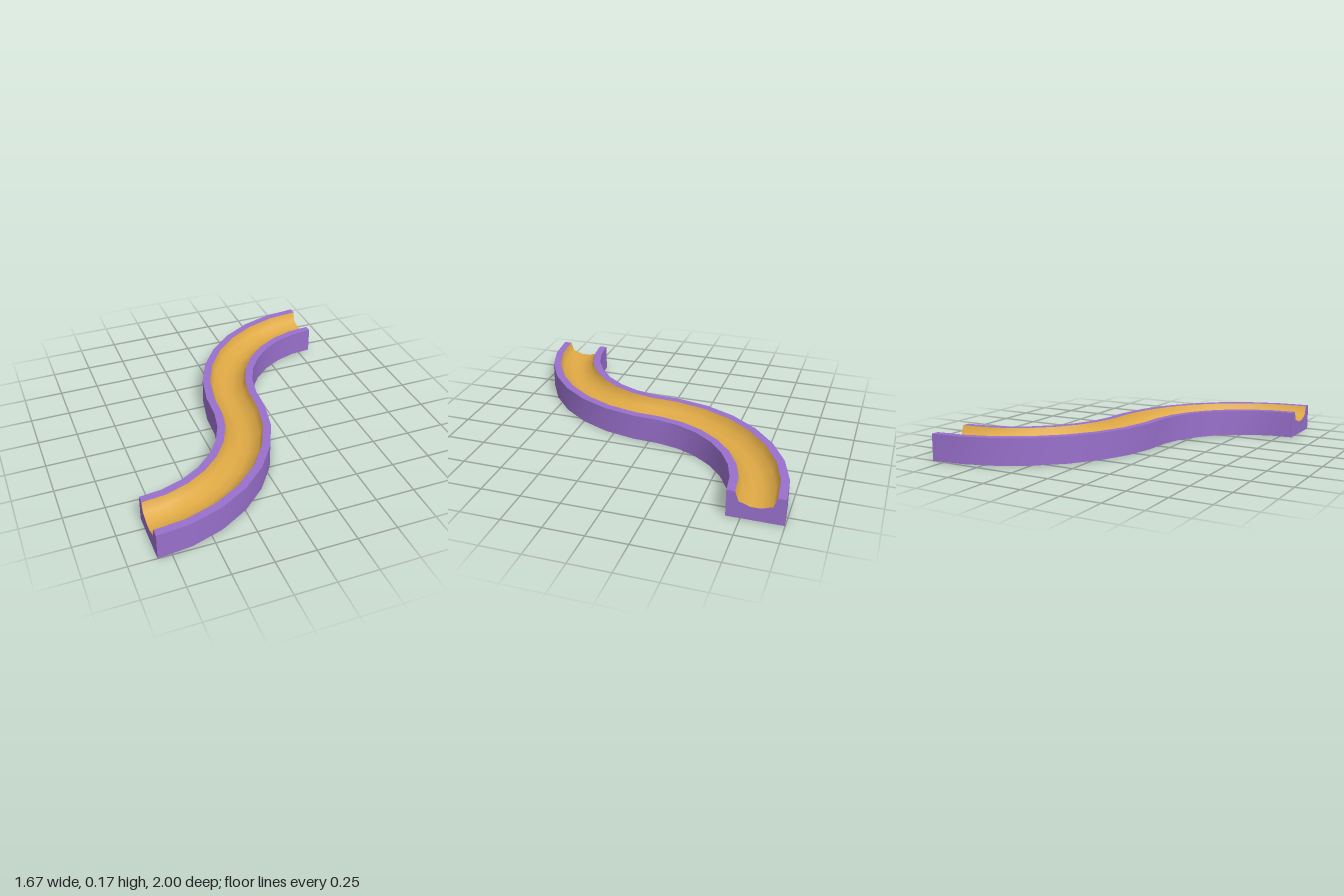
import * as THREE from 'three';

const R = 0.833;      // bend radius of the centre line
const W = 0.167;      // half width
const H = 0.167;      // height
const STEPS = 15;

// Channel cross-section as [offset, height], from right lip to left lip
const channel = [
  [0.117, H], [0.096, 0.108], [0.03, 0.085],
  [-0.03, 0.085], [-0.096, 0.108], [-0.117, H],
];

// Point on the S-shaped path at angle a, shifted sideways by an offset
function pathPoint(a, offset) {
  return a >= 0
    ? [-R + (R + offset) * Math.cos(a), (R + offset) * Math.sin(a)]
    : [R - (R - offset) * Math.cos(a), (R - offset) * Math.sin(a)];
}

// Sweep an open section (counterclockwise seen along the path) into a smooth strip
function sweep(section) {
  const positions = [], index = [], n = section.length;
  for (let i = 0; i <= STEPS; i++) {
    const a = (i / STEPS - 0.5) * Math.PI;
    for (const [offset, y] of section) {
      const [x, z] = pathPoint(a, offset);
      positions.push(x, y, z);
    }
  }
  for (let i = 0; i < STEPS; i++) {
    for (let j = 0; j < n - 1; j++) {
      const p = i * n + j, q = p + n;
      index.push(p, p + 1, q, p + 1, q + 1, q);
    }
  }
  const geometry = new THREE.BufferGeometry();
  geometry.setAttribute('position', new THREE.Float32BufferAttribute(positions, 3));
  geometry.setIndex(index);
  geometry.computeVertexNormals();
  return geometry;
}

export function createModel() {
  const purple = new THREE.MeshStandardMaterial({ color: 0x9970cc });
  purple.name = 'purple';
  const gold = new THREE.MeshStandardMaterial({ color: 0xe0aa45 });
  gold.name = 'gold';

  const group = new THREE.Group();
  group.name = 'curvedTrack';
  const add = (name, geometry, material) => {
    const mesh = new THREE.Mesh(geometry, material);
    mesh.name = name;
    group.add(mesh);
    return mesh;
  };

  // Outer block: walls, base and the two rims
  add('rightWall', sweep([[W, 0], [W, H]]), purple);
  add('rightRim', sweep([[W, H], channel[0]]), purple);
  add('leftRim', sweep([channel[5], [-W, H]]), purple);
  add('leftWall', sweep([[-W, H], [-W, 0]]), purple);
  add('base', sweep([[-W, 0], [W, 0]]), purple);

  // Rounded channel along the top
  add('channel', sweep(channel), gold);

  // End faces with the channel cut out
  const outline = [[-W, 0], [W, 0], [W, H], ...channel, [-W, H]];
  const endGeometry = new THREE.ShapeGeometry(
    new THREE.Shape(outline.map(([x, y]) => new THREE.Vector2(x, y))));
  for (const side of [-1, 1]) {
    const end = add(side < 0 ? 'frontEnd' : 'backEnd', endGeometry, purple);
    end.rotation.y = side * Math.PI / 2;
    end.position.set(side * R, 0, -side * R);
  }
  return group;
}
